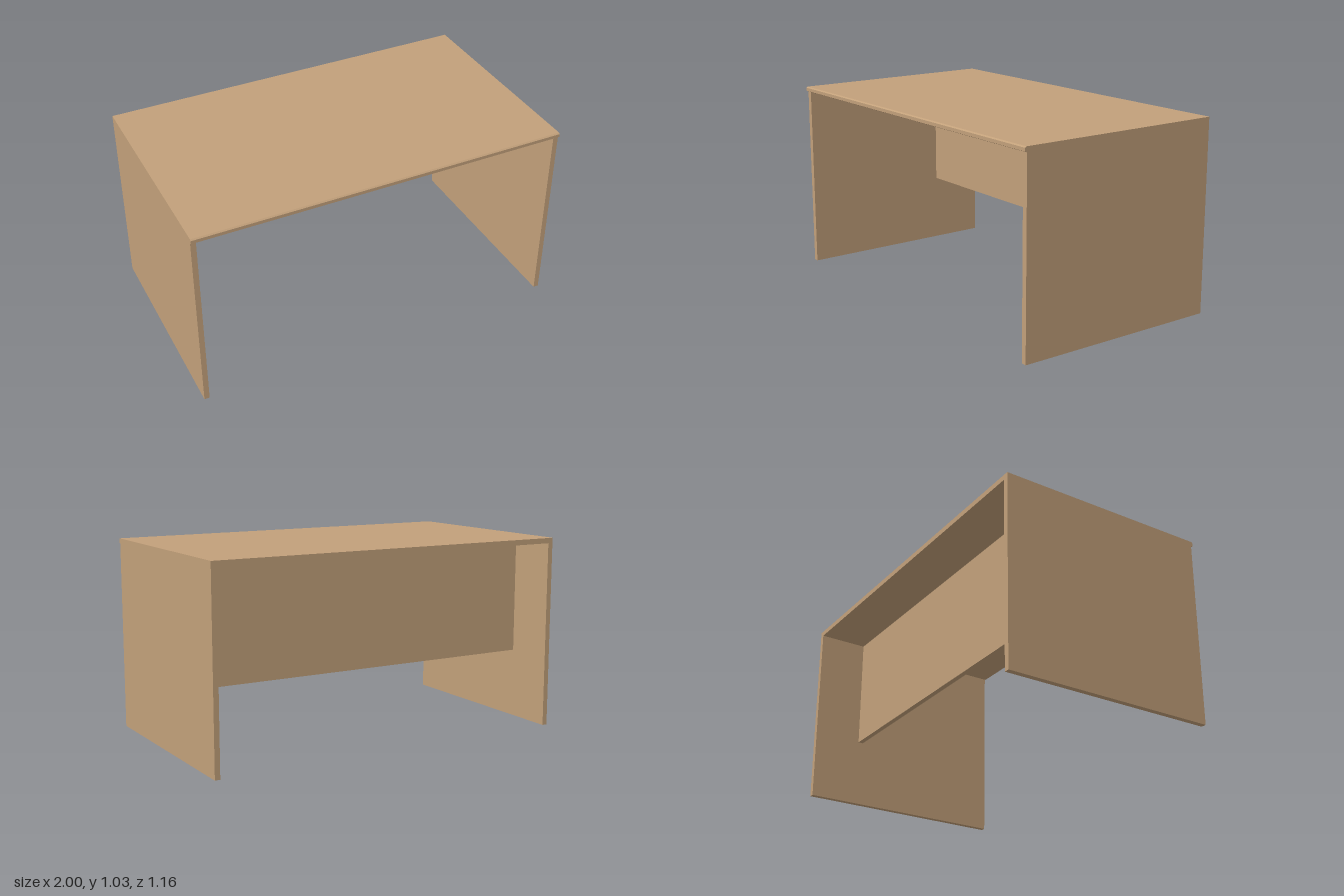
import * as THREE from 'three';

const HEIGHT = 1.028, BOARD = 0.028, UNDER = HEIGHT - BOARD;
const BACK = -0.578, FRONT = 0.568, LIP = 0.579;

export function createModel() {
  const desk = new THREE.Group();
  desk.name = 'desk';
  const wood = new THREE.MeshStandardMaterial({ color: 0xc2a07a });
  wood.name = 'light wood';

  const add = (name, geometry, x, y, z) => {
    const mesh = new THREE.Mesh(geometry, wood);
    mesh.name = name;
    mesh.position.set(x, y, z);
    desk.add(mesh);
  };

  // Desktop: side profile with a softened front lip, extruded across the width
  const profile = new THREE.Shape();
  profile.moveTo(BACK, UNDER);
  profile.lineTo(FRONT, UNDER);
  profile.lineTo(LIP, UNDER + 0.005);
  profile.lineTo(LIP, HEIGHT - 0.006);
  profile.lineTo(FRONT + 0.004, HEIGHT);
  profile.lineTo(BACK, HEIGHT);
  profile.closePath();
  const top = new THREE.ExtrudeGeometry(profile, { depth: 2, bevelEnabled: false });
  top.rotateY(-Math.PI / 2); // profile x becomes z, extrusion runs along -x
  add('desktop', top, 1, 0, 0);

  // Full-depth side panels
  for (const [name, side] of [['leftSidePanel', 1], ['rightSidePanel', -1]]) {
    add(name, new THREE.BoxGeometry(BOARD, UNDER, FRONT - BACK),
      side * (1 - BOARD / 2), UNDER / 2, (FRONT + BACK) / 2);
  }

  // Modesty panel, set in from the back
  const bottom = 0.375;
  add('modestyPanel', new THREE.BoxGeometry(2 - 2 * BOARD, UNDER - bottom, BOARD),
    0, (UNDER + bottom) / 2, -0.295);

  return desk;
}
